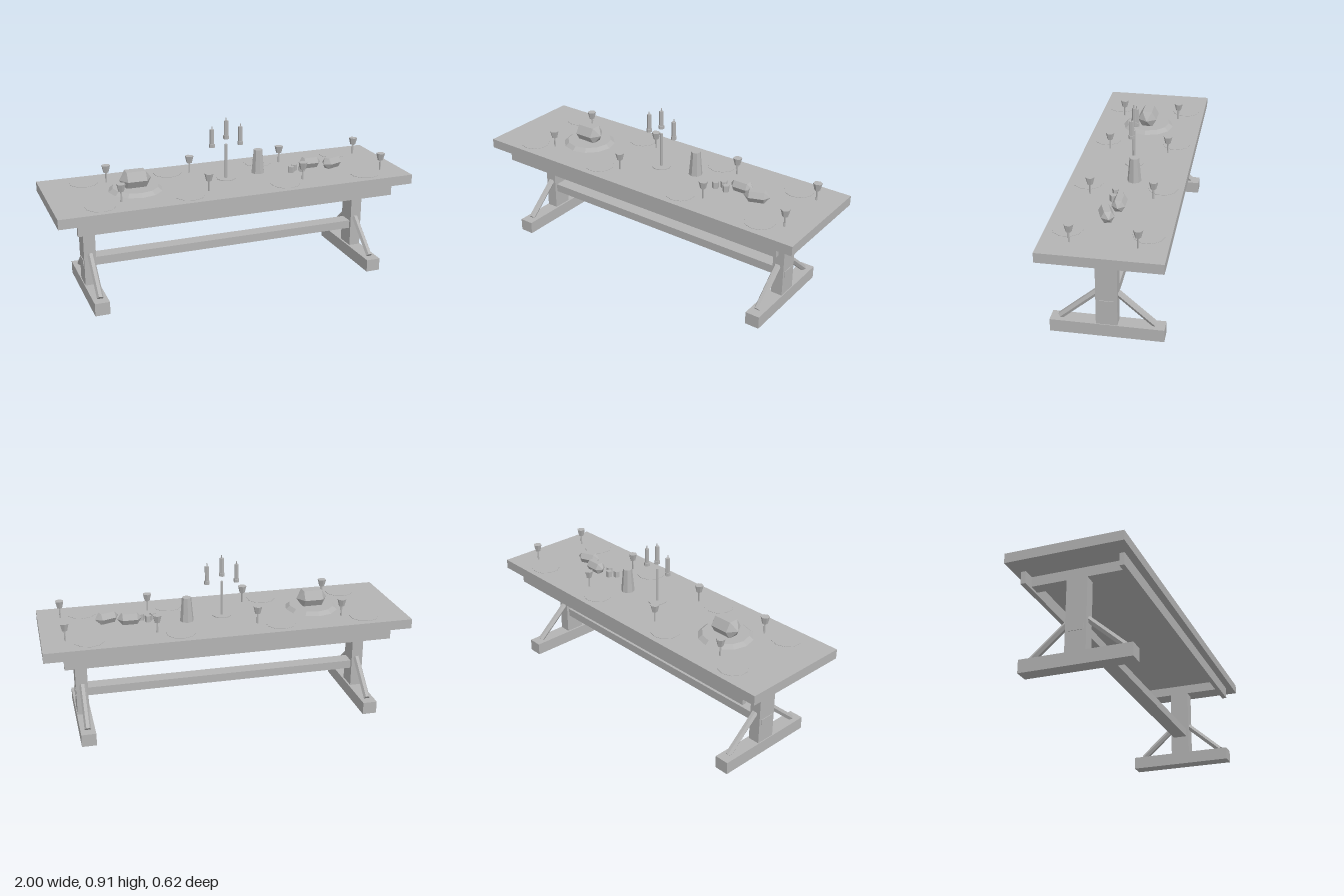
import * as THREE from 'three';

const grey = new THREE.MeshStandardMaterial({ color: 0xb4b4b4, flatShading: true });
grey.name = 'plain grey';

const TOP = 0.565; // height of the table surface

export function createModel() {
  const model = new THREE.Group();
  model.name = 'banquetTable';

  const add = (name, geometry, x = 0, y = 0, z = 0, parent = model) => {
    const mesh = new THREE.Mesh(geometry, grey);
    mesh.name = name;
    mesh.position.set(x, y, z);
    parent.add(mesh);
    return mesh;
  };
  // Box given by its centre in x and z and its bottom and top heights
  const box = (name, w, d, y0, y1, x = 0, z = 0) =>
    add(name, new THREE.BoxGeometry(w, y1 - y0, d), x, (y0 + y1) / 2, z);
  // Straight or tapered round part between two heights
  const round = (name, rTop, rBottom, y0, y1, sides, x = 0, z = 0, parent = model) =>
    add(name, new THREE.CylinderGeometry(rTop, rBottom, y1 - y0, sides), x, (y0 + y1) / 2, z, parent);

  // Table top and the rails below it
  box('tableTop', 2, 0.62, 0.512, TOP);
  for (const s of [-1, 1]) box('sideRail', 1.79, 0.026, 0.445, 0.512, 0, s * 0.258);

  // Trestle ends
  for (const s of [-1, 1]) {
    const x = s * 0.797;
    box('crossBeam', 0.065, 0.49, 0.458, 0.512, x);
    box('post', 0.065, 0.11, 0.07, 0.458, x);
    box('foot', 0.08, 0.586, 0, 0.07, s * 0.794);
    box('tenon', 0.07, 0.08, 0.178, 0.212, s * 0.798);
    for (const t of [-1, 1]) {
      // Six-sided brace from the foot up to the post
      const low = new THREE.Vector3(s * 0.793, 0.075, t * 0.243);
      const high = new THREE.Vector3(s * 0.793, 0.245, t * 0.05);
      const dir = high.clone().sub(low);
      const shaft = new THREE.CylinderGeometry(0.018, 0.018, dir.length(), 6).rotateY(Math.PI / 6);
      const brace = add('brace', shaft);
      brace.position.copy(low).lerp(high, 0.5);
      brace.quaternion.setFromUnitVectors(new THREE.Vector3(0, 1, 0), dir.normalize());
    }
  }
  box('stretcher', 1.54, 0.08, 0.175, 0.222);

  // Place settings: a thin plate and a goblet each
  for (const x of [-0.76, -0.28, 0.27, 0.755]) {
    for (const s of [-1, 1]) {
      round('plate', 0.08, 0.08, TOP, TOP + 0.002, 10, x, s * 0.2);
      const goblet = new THREE.Group();
      goblet.name = 'goblet';
      goblet.position.set(x + 0.12, TOP, s * 0.166);
      round('stem', 0.005, 0.005, 0, 0.059, 6, 0, 0, goblet);
      round('cup', 0.025, 0.015, 0.058, 0.098, 6, 0, 0, goblet);
      model.add(goblet);
    }
  }

  // Loaf shape: six-sided body lying along x with pointed ends
  const loaf = (name, r, body, half, x, y, z, turn = 0) => {
    const profile = [[0, -half], [r, -body], [r, body], [0, half]].map(p => new THREE.Vector2(...p));
    const mesh = add(name, new THREE.LatheGeometry(profile, 6).rotateZ(-Math.PI / 2), x, y, z);
    mesh.rotation.y = turn;
  };

  // Roast on its platter
  round('platter', 0.125, 0.148, TOP, 0.584, 12, -0.52);
  loaf('roast', 0.055, 0.052, 0.088, -0.52, 0.624, 0);

  // Bread and small cheeses
  loaf('bread', 0.035, 0.04, 0.067, 0.516, 0.598, -0.013);
  loaf('bread', 0.035, 0.04, 0.07, 0.635, 0.598, 0.032, 0.36);
  for (const [x, z] of [[0.38, 0.032], [0.412, 0], [0.446, 0.033]])
    round('cheese', 0.019, 0.019, TOP, 0.6, 5, x, z);

  // Jug
  round('jug', 0.026, 0.038, TOP, 0.7, 8, 0.205, -0.036);

  // Candle stand with three candles
  round('candleBase', 0.053, 0.053, TOP, TOP + 0.004, 12);
  round('candleStem', 0.008, 0.008, TOP, 0.763, 6);
  for (const [x, y] of [[-0.083, 0.752], [0, 0.793], [0.083, 0.752]]) {
    round('candleCup', 0.016, 0.016, y, y + 0.019, 6, x);
    round('candle', 0.012, 0.012, y + 0.019, y + 0.102, 6, x);
    round('wick', 0.003, 0.003, y + 0.102, y + 0.119, 5, x);
  }
  return model;
}
